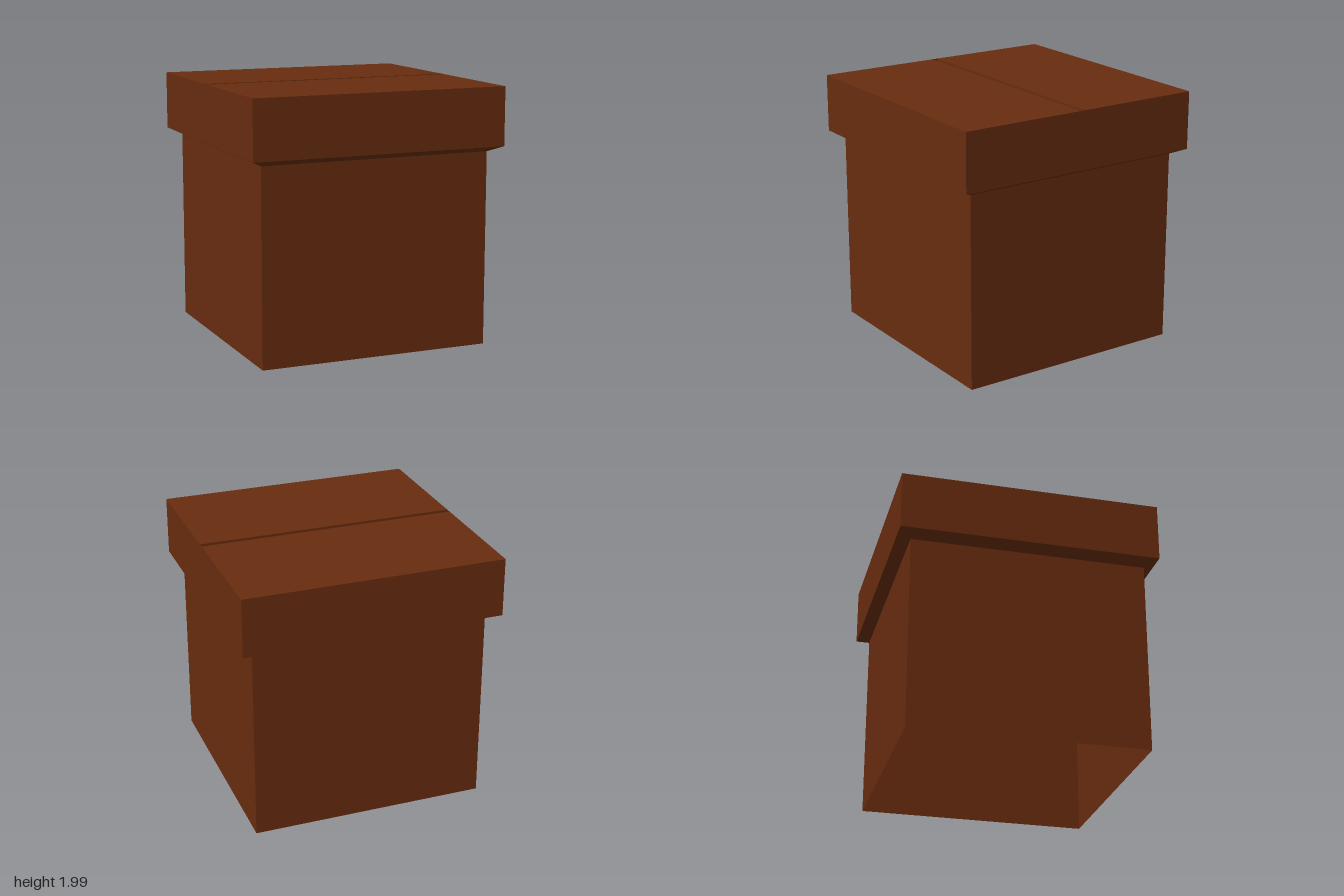
import * as THREE from 'three';

const cardboard = new THREE.MeshStandardMaterial({ color: 0x682c0f, side: THREE.DoubleSide });
cardboard.name = 'brown cardboard';

// Square open tube through [half width, height] rings, with flat sides
function squareTube(name, rings) {
  const points = rings.map(([half, y]) => new THREE.Vector2(half * Math.SQRT2, y));
  const geometry = new THREE.LatheGeometry(points, 4, Math.PI / 4).toNonIndexed();
  geometry.computeVertexNormals();
  const mesh = new THREE.Mesh(geometry, cardboard);
  mesh.name = name;
  return mesh;
}

// Horizontal sheet spanning the full width between two z values
function sheet(name, y, z0, z1) {
  const geometry = new THREE.PlaneGeometry(2, z1 - z0).rotateX(-Math.PI / 2);
  const mesh = new THREE.Mesh(geometry, cardboard);
  mesh.position.set(0, y, (z0 + z1) / 2);
  mesh.name = name;
  return mesh;
}

export function createModel() {
  const box = new THREE.Group();
  box.name = 'cardboardBox';
  const top = 1.99, slotFloor = 1.95, slotBack = -0.02, slotFront = 0.025;

  // Hollow body, open underneath
  box.add(squareTube('body', [[0.905, 0], [0.905, 1.495]]));

  // Lid with a sloped underside
  box.add(squareTube('lidUnderside', [[0.905, 1.495], [1, 1.54]]));
  box.add(squareTube('lidSides', [[1, 1.54], [1, top]]));

  // Two top flaps with a narrow recessed seam between them
  box.add(sheet('backFlap', top, -1, slotBack));
  box.add(sheet('frontFlap', top, slotFront, 1));
  box.add(sheet('seamFloor', slotFloor, slotBack, slotFront));
  for (const [name, z, turn] of [['seamBackWall', slotBack, 0], ['seamFrontWall', slotFront, Math.PI]]) {
    const wall = new THREE.Mesh(new THREE.PlaneGeometry(2, top - slotFloor), cardboard);
    wall.position.set(0, (top + slotFloor) / 2, z);
    wall.rotation.y = turn;
    wall.name = name;
    box.add(wall);
  }
  return box;
}
